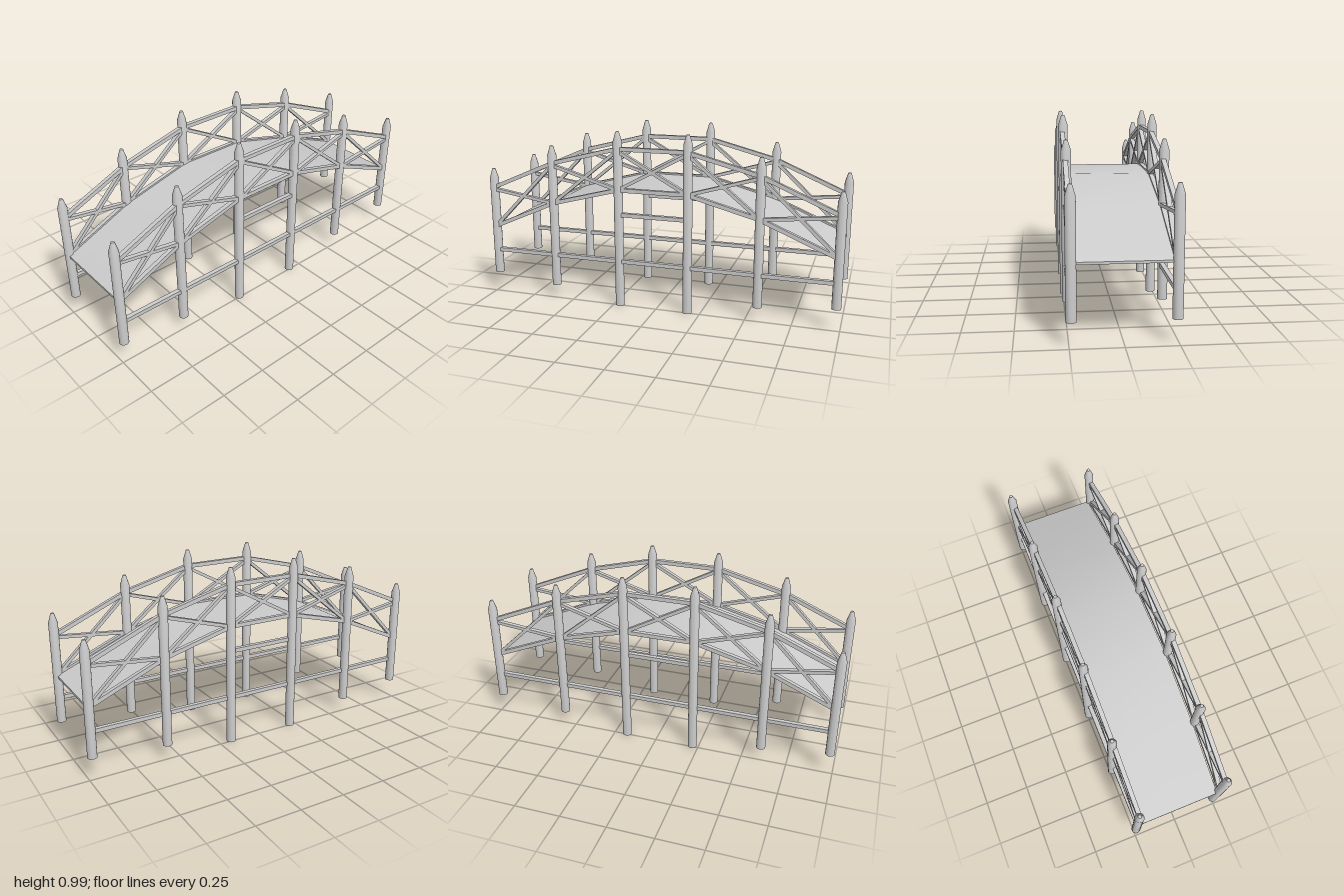
import * as THREE from 'three';
import { toCreasedNormals } from 'three/addons/utils/BufferGeometryUtils.js';

const material = new THREE.MeshStandardMaterial({ color: 0xcccccc });

// Post stations along the span: z, foot, tip, deck height, handrail height
const stations = [
  { z: 0.975, foot: 0.12, tip: 0.74, deck: 0.4, rail: 0.63 },
  { z: 0.605, foot: 0.08, tip: 0.89, deck: 0.563, rail: 0.79 },
  { z: 0.215, foot: 0, tip: 0.985, deck: 0.665, rail: 0.89 },
  { z: -0.178, foot: 0, tip: 0.985, deck: 0.665, rail: 0.89 },
  { z: -0.565, foot: 0.08, tip: 0.89, deck: 0.563, rail: 0.79 },
  { z: -0.975, foot: 0.12, tip: 0.74, deck: 0.392, rail: 0.615 },
];

function addMesh(parent, name, geometry) {
  const mesh = new THREE.Mesh(geometry, material);
  mesh.name = name;
  parent.add(mesh);
  return mesh;
}

// Round post with a tapered, blunt tip
function addPost(parent, x, s) {
  const r = 0.025, h = s.tip - s.foot;
  const profile = [[0, 0], [r, 0], [r, h - 0.055], [0.009, h - 0.002], [0, h]]
    .map(([px, py]) => new THREE.Vector2(px, py));
  const geometry = toCreasedNormals(new THREE.LatheGeometry(profile, 24), 0.4);
  addMesh(parent, 'post', geometry).position.set(x, s.foot, s.z);
}

// Square bar between two (z, y) points in the plane of one side
function addBar(parent, name, x, z1, y1, z2, y2, size = 0.022) {
  const length = Math.hypot(z2 - z1, y2 - y1);
  const bar = addMesh(parent, name, new THREE.BoxGeometry(0.024, size, length + 0.012));
  bar.position.set(x, (y1 + y2) / 2, (z1 + z2) / 2);
  bar.rotation.x = -Math.atan2(y1 - y2, z1 - z2);
}

function createSide(name, postX, barX) {
  const side = new THREE.Group();
  side.name = name;
  stations.forEach((s) => addPost(side, postX, s));
  for (let i = 0; i < stations.length - 1; i++) {
    const a = stations[i], b = stations[i + 1];
    addBar(side, 'handrail', barX, a.z, a.rail, b.z, b.rail);
    addBar(side, 'deckRail', barX, a.z, a.deck, b.z, b.deck);
    // Crossed braces in each bay
    addBar(side, 'brace', barX, a.z, a.rail - 0.01, b.z, b.deck, 0.018);
    addBar(side, 'brace', barX, a.z, a.deck, b.z, b.rail - 0.01, 0.018);
  }
  // Horizontal ties below the deck
  const last = stations[stations.length - 1];
  addBar(side, 'lowerTie', barX, stations[0].z, 0.26, last.z, 0.26);
  addBar(side, 'middleTie', barX, stations[2].z, 0.527, stations[3].z, 0.527);
  return side;
}

// Thin walkway bent over the stations
function createDeck(parent) {
  const width = 0.45, half = 0.006;
  const path = stations.map((s) => [s.z, s.deck - 0.004]);
  path[0] = [0.985, 0.391];
  path[path.length - 1] = [-0.98, 0.386];
  const outline = [
    ...path.map(([z, y]) => new THREE.Vector2(-z, y + half)),
    ...path.slice().reverse().map(([z, y]) => new THREE.Vector2(-z, y - half)),
  ];
  const geometry = new THREE.ExtrudeGeometry(new THREE.Shape(outline), {
    depth: width, bevelEnabled: false,
  });
  geometry.translate(0, 0, -width / 2);
  geometry.rotateY(Math.PI / 2);
  addMesh(parent, 'deck', toCreasedNormals(geometry, 0.6));
}

export function createModel() {
  const bridge = new THREE.Group();
  bridge.name = 'footbridge';
  bridge.add(createSide('leftSide', 0.24, 0.244));
  bridge.add(createSide('rightSide', -0.24, -0.233));
  createDeck(bridge);
  return bridge;
}
